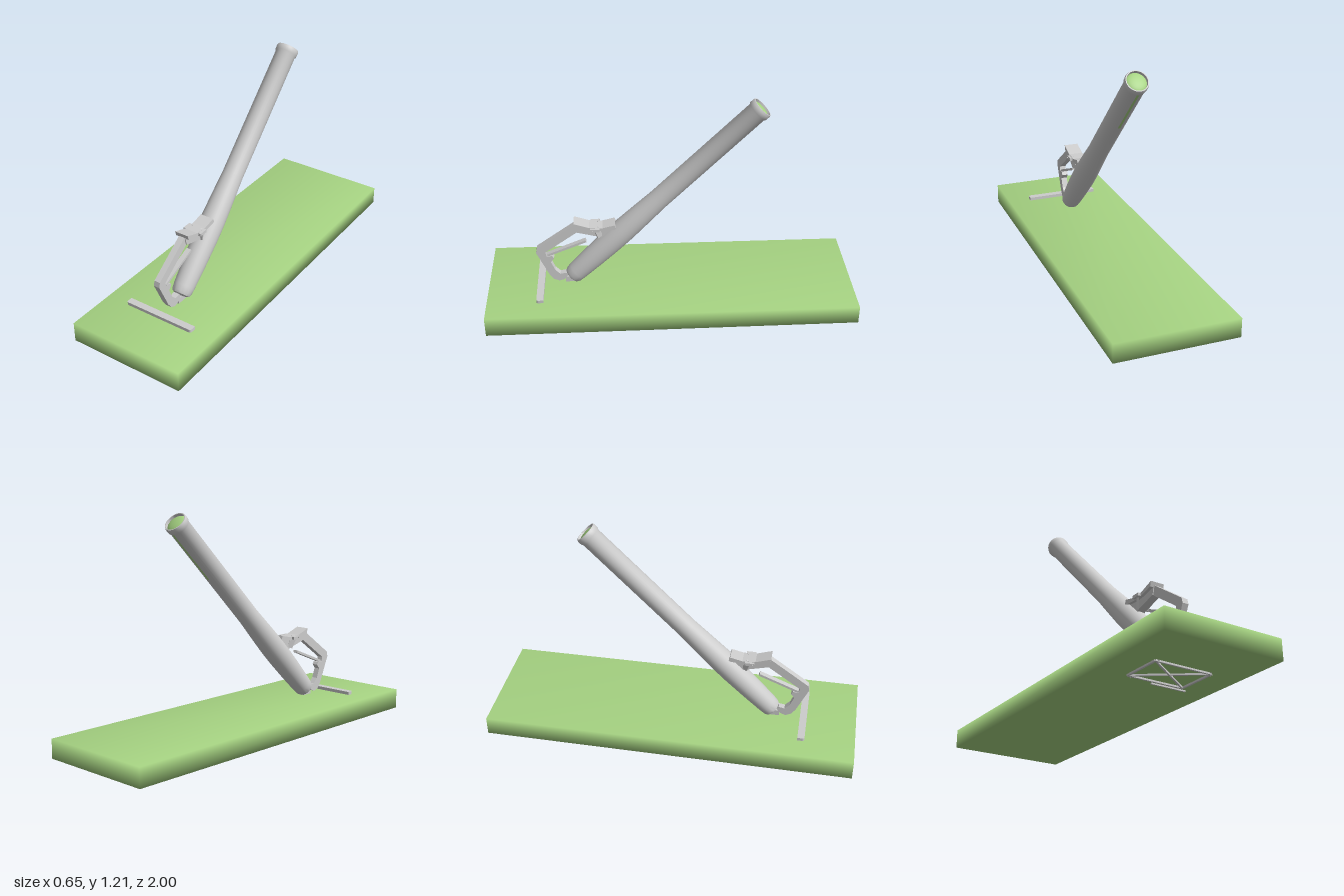
import * as THREE from 'three';
import { mergeVertices, toCreasedNormals } from 'three/addons/utils/BufferGeometryUtils.js';

export function createModel() {
  const model = new THREE.Group();
  const grey = new THREE.MeshStandardMaterial({ name: 'light grey', color: 0xcccccc, side: THREE.DoubleSide });
  const green = new THREE.MeshStandardMaterial({ name: 'soft green', color: 0xa6d382 });

  const add = (name, geometry, material, parent = model) => {
    const mesh = new THREE.Mesh(geometry, material);
    mesh.name = name;
    parent.add(mesh);
    return mesh;
  };
  // Side profile given as [z, y] points, extruded across x
  const sideProfile = (name, points, width, x = 0) => {
    const shape = new THREE.Shape(points.map(([z, y]) => new THREE.Vector2(z, y)));
    const g = new THREE.ExtrudeGeometry(shape, { depth: width, bevelEnabled: false });
    g.translate(0, 0, -width / 2).rotateY(-Math.PI / 2).translate(x, 0, 0);
    return add(name, g, grey);
  };
  // Square bar between two points
  const bar = (name, a, b, width, height) => {
    const from = new THREE.Vector3(...a), to = new THREE.Vector3(...b);
    const mesh = add(name, new THREE.BoxGeometry(width, height, from.distanceTo(to)), grey);
    mesh.position.copy(from).add(to).multiplyScalar(0.5);
    mesh.lookAt(to);
    return mesh;
  };

  // Base slab with normals shared over its corners
  let slab = new THREE.BoxGeometry(0.654, 0.11, 2);
  slab.deleteAttribute('normal');
  slab.deleteAttribute('uv');
  slab = mergeVertices(slab);
  slab.computeVertexNormals();
  slab.translate(0, 0.076, 0);
  const corner = slab.attributes.position;
  for (let i = 0; i < corner.count; i++) {
    if (corner.getZ(i) < 0 && corner.getY(i) > 0.1) corner.setY(i, 0.123);
  }
  add('baseSlab', slab, green);

  // Leaning tube, built upright and tipped back
  const tube = new THREE.Group();
  tube.name = 'tube';
  tube.position.set(0, 0.16, 0.545);
  tube.rotation.x = -Math.PI / 4;
  model.add(tube);
  const profile = [
    [0, -0.004], [0.035, 0], [0.047, 0.006], [0.053, 0.02], [0.056, 0.05], [0.062, 0.18],
    [0.066, 0.32], [0.066, 0.42], [0.061, 0.56], [0.056, 0.68], [0.055, 1.39],
    [0.06, 1.398], [0.061, 1.42], [0.058, 1.43], [0.053, 1.43], [0.052, 1.4],
  ].map(([r, y]) => new THREE.Vector2(r, y));
  add('tubeShell', toCreasedNormals(new THREE.LatheGeometry(profile, 32), 0.7), grey, tube);

  // Domed green core in the open end
  const core = add('tubeCore', new THREE.SphereGeometry(0.053, 24, 8, 0, Math.PI * 2, 0, Math.PI / 2), green, tube);
  core.scale.y = 0.3;
  core.position.y = 1.412;

  // Narrow green seam along the underside
  const seam = new THREE.CylinderGeometry(0.0562, 0.0558, 0.34, 4, 1, true, Math.PI - 0.12, 0.24);
  seam.translate(0, 1.22, 0);
  add('undersideSeam', seam, green, tube);

  // Bent lever arm
  sideProfile('leverArm', [
    [0.516, 0.505], [0.725, 0.356], [0.731, 0.328], [0.668, 0.185], [0.645, 0.152],
    [0.615, 0.138], [0.586, 0.148], [0.565, 0.175], [0.575, 0.19], [0.607, 0.184],
    [0.634, 0.212], [0.655, 0.265], [0.636, 0.29], [0.645, 0.305], [0.675, 0.305],
    [0.682, 0.33], [0.505, 0.455],
  ], 0.034);
  // Wide saddle with a web reaching the tube
  sideProfile('saddlePlate', [
    [0.518, 0.524], [0.436, 0.496], [0.366, 0.492], [0.3, 0.508],
    [0.29, 0.482], [0.366, 0.474], [0.436, 0.478], [0.51, 0.497],
  ], 0.078);
  sideProfile('saddleWeb', [
    [0.515, 0.5], [0.436, 0.485], [0.31, 0.49], [0.29, 0.44], [0.37, 0.42], [0.4, 0.43], [0.505, 0.458],
  ], 0.044);

  for (const side of [-1, 1]) {
    // Side lug, pin and hanging bracket
    add('saddleLug', new THREE.BoxGeometry(0.016, 0.016, 0.05), grey).position.set(side * 0.046, 0.485, 0.405);
    const pin = add('saddlePin', new THREE.CylinderGeometry(0.004, 0.004, 0.03, 8), grey);
    pin.rotation.z = Math.PI / 2;
    pin.position.set(side * 0.045, 0.485, 0.42);
    bar('saddleBracket', [side * 0.036, 0.49, 0.4], [side * 0.022, 0.43, 0.38], 0.012, 0.03);
  }

  // Thin strut between the arm and the tube
  bar('leverStrut', [0, 0.307, 0.672], [0, 0.394, 0.458], 0.028, 0.013);

  // Small foot under the tube
  add('tubeFoot', new THREE.BoxGeometry(0.03, 0.04, 0.06), grey).position.set(0, 0.142, 0.55);

  // Cross plate with rounded ends on top of the slab
  const plate = new THREE.Shape();
  plate.moveTo(-0.203, -0.02);
  plate.lineTo(0.203, -0.02);
  plate.lineTo(0.203, 0.005);
  plate.quadraticCurveTo(0.203, 0.018, 0.19, 0.018);
  plate.lineTo(-0.19, 0.018);
  plate.quadraticCurveTo(-0.203, 0.018, -0.203, 0.005);
  const plateGeometry = new THREE.ExtrudeGeometry(plate, { depth: 0.026, bevelEnabled: false });
  plateGeometry.rotateX(Math.PI / 2);
  add('crossPlate', plateGeometry, grey).position.set(0, 0.147, 0.715);

  // Braced frame below the slab
  const y = 0.017;
  const corners = [[-0.165, y, 0.71], [0.15, y, 0.71], [0.15, y, 0.49], [-0.165, y, 0.49]];
  corners.forEach((c, i) => bar('frameRail', c, corners[(i + 1) % 4], 0.01, 0.01));
  bar('frameBrace', corners[0], corners[2], 0.009, 0.01);
  bar('frameBrace', corners[1], corners[3], 0.009, 0.01);
  bar('rearRail', [-0.01, y, 0.46], [0.19, y, 0.46], 0.008, 0.008);

  // Short spikes pointing down
  for (const [x, z] of [[-0.15, 0.71], [0.145, 0.71], [-0.15, 0.49], [0.145, 0.49], [0, 0.6]]) {
    const spike = add('spike', new THREE.ConeGeometry(0.008, 0.016, 8), grey);
    spike.rotation.x = Math.PI;
    spike.position.set(x, 0.012, z);
  }
  return model;
}
